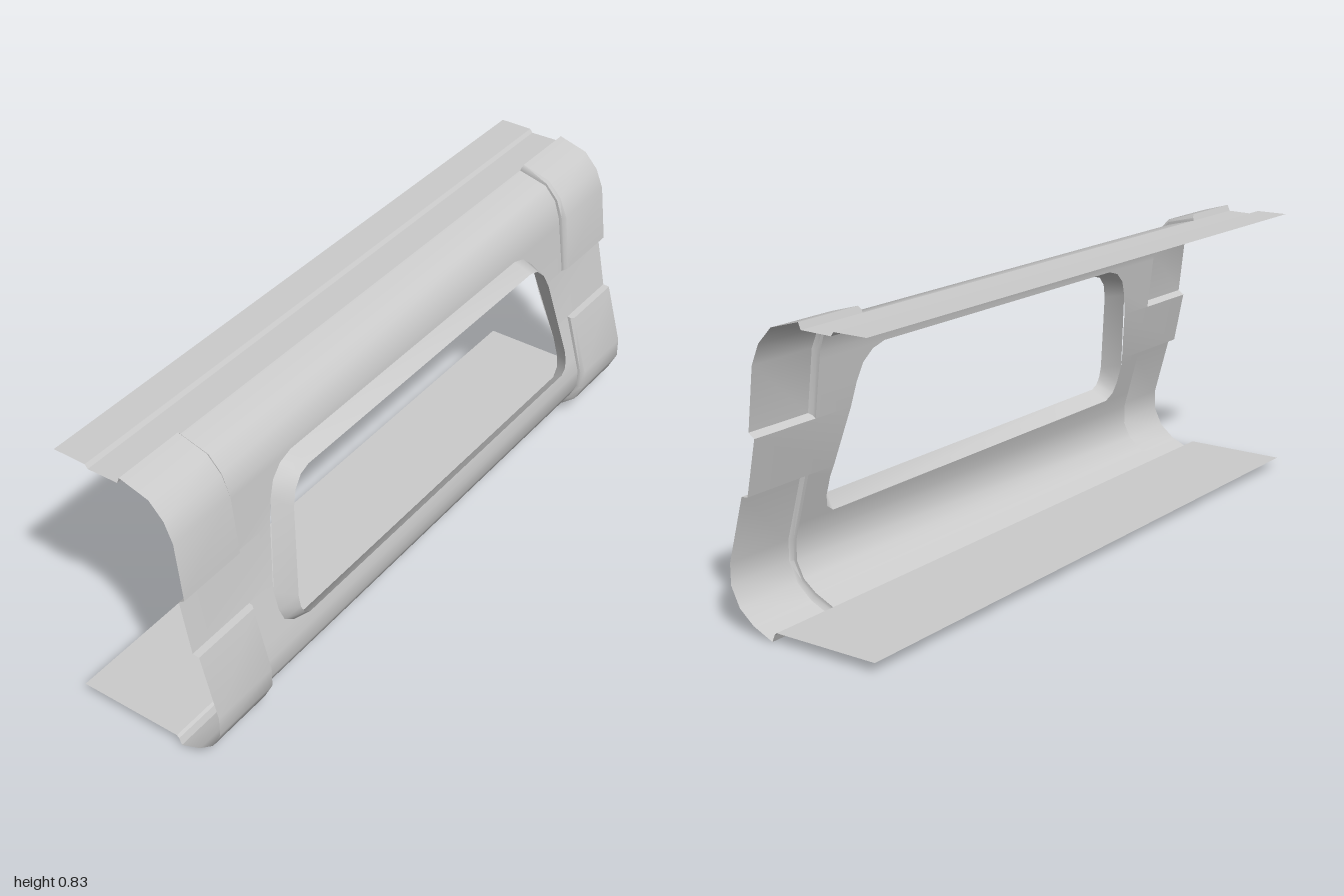
import * as THREE from 'three';
import { toCreasedNormals } from 'three/addons/utils/BufferGeometryUtils.js';

// Section points are [z, y], listed from bottom to top.
const lowerBase = [[0.085, 0.023], [0.146, 0.05], [0.185, 0.08], [0.207, 0.124], [0.207, 0.181], [0.157, 0.366]];
const upperBase = [[0.126, 0.52], [0.104, 0.696], [0.087, 0.75], [0.052, 0.79], [-0.037, 0.812]];
const lowerPad = [[0.093, 0.003], [0.155, 0.03], [0.2, 0.067], [0.227, 0.122], [0.227, 0.181], [0.177, 0.364]];
const upperPad = [[0.144, 0.533], [0.124, 0.703], [0.1, 0.76], [0.058, 0.805], [-0.03, 0.83]];
const section = [...lowerBase, ...upperBase];
const PAD_X = 0.78;

// Right half of the window outline, top to bottom: [x, y] at the panel and at the front lip.
const windowEdge = [[0.53, 0.675], [0.575, 0.662], [0.61, 0.632], [0.63, 0.585], [0.69, 0.34], [0.69, 0.285], [0.68, 0.25], [0.65, 0.23]];
const lipEdge = [[0.53, 0.655], [0.565, 0.645], [0.594, 0.617], [0.612, 0.575], [0.66, 0.335], [0.66, 0.3], [0.65, 0.277], [0.63, 0.265]];

const material = new THREE.MeshStandardMaterial({ color: 0xcccccc, side: THREE.DoubleSide });

function lookUp(points, key, value, at) {
  for (let i = 0; i < points.length - 1; i++) {
    const a = points[i], b = points[i + 1];
    const lo = Math.min(a[key], b[key]), hi = Math.max(a[key], b[key]);
    if (hi > lo && at >= lo - 1e-6 && at <= hi + 1e-6) {
      return a[value] + (b[value] - a[value]) * (at - a[key]) / (b[key] - a[key]);
    }
  }
  return 0;
}
const panelZ = (y) => lookUp(section, 1, 0, y);
const lipZ = (y) => 0.234 - (y - 0.262) * 0.18;

// Adds the quads between successive rows of [x, y, z] points.
function addGrid(out, rows) {
  for (let r = 0; r < rows.length - 1; r++) {
    for (let c = 0; c < rows[r].length - 1; c++) {
      const a = rows[r][c], b = rows[r][c + 1], d = rows[r + 1][c], e = rows[r + 1][c + 1];
      out.push(...a, ...b, ...e, ...a, ...e, ...d);
    }
  }
}

function makeMesh(name, positions) {
  const geometry = new THREE.BufferGeometry();
  geometry.setAttribute('position', new THREE.Float32BufferAttribute(positions, 3));
  const mesh = new THREE.Mesh(toCreasedNormals(geometry, 0.7), material);
  mesh.name = name;
  return mesh;
}

// Curved panel in horizontal bands, split around the window and cut out under the pads
function buildPanel() {
  const out = [];
  const ys = [...new Set([...section, ...windowEdge].map((p) => p[1]))].sort((a, b) => a - b);
  for (let i = 0; i < ys.length - 1; i++) {
    const y0 = ys[i], y1 = ys[i + 1], mid = (y0 + y1) / 2;
    const end = mid > 0.366 && mid < 0.52 ? 1 : PAD_X;
    const row = (y, xs) => xs.map((x) => [x, y, panelZ(y)]);
    if (mid > 0.23 && mid < 0.675) {
      const w0 = lookUp(windowEdge, 1, 0, y0), w1 = lookUp(windowEdge, 1, 0, y1);
      addGrid(out, [row(y0, [w0, end]), row(y1, [w1, end])]);
      addGrid(out, [row(y0, [-end, -w0]), row(y1, [-end, -w1])]);
    } else {
      addGrid(out, [row(y0, [-end, end]), row(y1, [-end, end])]);
    }
  }
  return makeMesh('curvedPanel', out);
}

// Forward-standing rim around the window
function buildRim() {
  const loop = (half) => {
    const full = [...half, ...half.map(([x, y]) => [-x, y]).reverse()];
    return [...full, full[0]];
  };
  const out = [];
  addGrid(out, [
    loop(windowEdge).map(([x, y]) => [x, y, panelZ(y)]),
    loop(lipEdge).map(([x, y]) => [x, y, lipZ(y)]),
  ]);
  return makeMesh('windowRim', out);
}

// Raised end pad: stepped inner wall, outer skin and closed upper and lower edges
function buildPad(name, base, outer, side) {
  const rows = base.map(([bz, by], i) => {
    const [oz, oy] = outer[i];
    return [
      [PAD_X * side, by, bz],
      [PAD_X * side, (by + oy) / 2, (bz + oz) / 2],
      [(PAD_X + 0.008) * side, oy, oz],
      [side, oy, oz],
    ];
  });
  const edge = ([z, y]) => [PAD_X, PAD_X, PAD_X + 0.008, 1].map((x) => [x * side, y, z]);
  rows.unshift(edge(base[0]));
  rows.push(edge(base[base.length - 1]));
  if (side < 0) rows.forEach((r) => r.reverse());
  const out = [];
  addGrid(out, rows);
  return makeMesh(name, out);
}

// Full-width folded strip running backwards
function buildFlange(name, points) {
  const out = [];
  addGrid(out, points.map(([z, y]) => [[-1, y, z], [1, y, z]]));
  return makeMesh(name, out);
}

export function createModel() {
  const model = new THREE.Group();
  model.name = 'windowPanel';
  model.add(buildPanel(), buildRim());
  for (const side of [1, -1]) {
    const label = side > 0 ? 'left' : 'right';
    model.add(buildPad(label + 'LowerPad', lowerBase, lowerPad, side));
    model.add(buildPad(label + 'UpperPad', upperBase, upperPad, side));
  }
  model.add(buildFlange('topFlange', [[-0.037, 0.812], [-0.13, 0.81], [-0.138, 0.821], [-0.237, 0.821]]));
  model.add(buildFlange('bottomFlange', [[-0.237, 0.03], [0.078, 0.03], [0.085, 0.023]]));
  return model;
}
